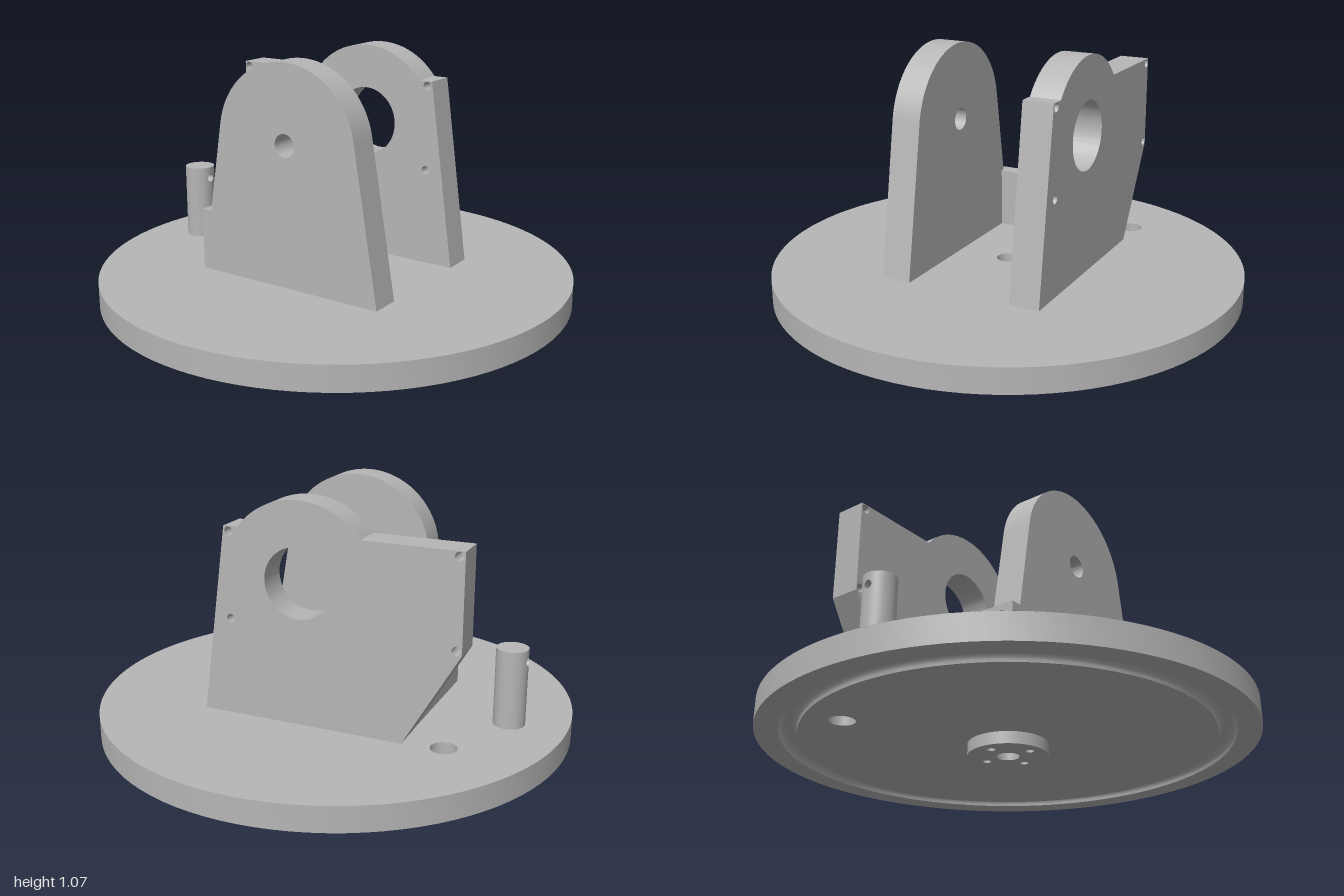
import * as THREE from 'three';
import { toCreasedNormals } from 'three/addons/utils/BufferGeometryUtils.js';
import { ParametricGeometry } from 'three/addons/geometries/ParametricGeometry.js';

const SEG = 96;
const BOTTOM = 0.05, TOP = 0.155;           // turntable disc heights
const AXIS_Y = 0.745, ARC_R = 0.328;        // pivot axis and bracket crown

export function createModel() {
  const grey = new THREE.MeshStandardMaterial({ color: 0xb6b6b6, side: THREE.DoubleSide });
  grey.name = 'machinedGrey';
  const model = new THREE.Group();
  model.name = 'pivotBracketTurntable';

  const add = (name, geometry, parent = model) => {
    const mesh = new THREE.Mesh(geometry, grey);
    mesh.name = name;
    parent.add(mesh);
    return mesh;
  };
  const circlePath = (x, y, r) => new THREE.Path().absarc(x, y, r, 0, Math.PI * 2, true);

  // Flat round face at height y with holes given as [x, z, r]
  const discFace = (name, r, y, up, holes) => {
    const shape = new THREE.Shape().absarc(0, 0, r, 0, Math.PI * 2, false);
    const s = up ? -1 : 1;
    holes.forEach(([x, z, hr]) => shape.holes.push(circlePath(x, s * z, hr)));
    const geo = new THREE.ShapeGeometry(shape, SEG).rotateX(s * Math.PI / 2);
    add(name, geo.translate(0, y, 0));
  };
  // Open round wall
  const wall = (name, [x, z, r], y0, y1) => add(name,
    new THREE.CylinderGeometry(r, r, y1 - y0, SEG, 1, true).translate(x, (y0 + y1) / 2, z));

  // Turntable disc: rim and bearing groove in one lathe, then faces and bores
  const bore = [0, 0, 0.047], cableHole = [-0.6, -0.33, 0.053];
  const grooveR = 0.869, grooveHalf = 0.036;
  const profile = [];
  for (let i = 0; i <= 12; i++) {
    const a = Math.PI * (1 - i / 12);
    profile.push(new THREE.Vector2(grooveR + grooveHalf * Math.cos(a), BOTTOM + grooveHalf * Math.sin(a)));
  }
  profile.push(new THREE.Vector2(1, BOTTOM), new THREE.Vector2(1, TOP));
  add('discRim', toCreasedNormals(new THREE.LatheGeometry(profile, SEG), 0.5));
  discFace('discTop', 1, TOP, true, [bore, cableHole]);
  const hub = [0, 0, 0.163];
  discFace('discUnderside', grooveR - grooveHalf, BOTTOM, false, [hub, cableHole]);
  wall('cableHoleWall', cableHole, BOTTOM, TOP);
  wall('centreBore', bore, 0, TOP);

  // Hub with four blind screw holes
  const screws = [[1, 0], [-1, 0], [0, 1], [0, -1]].map(([x, z]) => [x * 0.108, z * 0.108, 0.017]);
  discFace('hubFace', hub[2], 0, false, [bore, ...screws]);
  wall('hubSide', hub, 0, BOTTOM);
  screws.forEach((s) => {
    wall('screwHole', s, 0, 0.1);
    add('screwHoleEnd', new THREE.CircleGeometry(s[2], 24).rotateX(Math.PI / 2).translate(s[0], 0.1, s[1]));
  });

  // Upright plates
  const upright = (name, shape, z0, z1) => {
    const geo = new THREE.ExtrudeGeometry(shape, { depth: z1 - z0, bevelEnabled: false, curveSegments: 48 });
    add(name, toCreasedNormals(geo.translate(0, 0, z0), 0.3));
  };

  // Front plate: tapered sides tangent to a round crown, with a step for the web
  const tilt = 0.168;
  const front = new THREE.Shape();
  front.moveTo(-0.435, TOP);
  front.lineTo(0.432, TOP);
  front.absarc(0, AXIS_Y, ARC_R, tilt, Math.PI - tilt, false);
  front.lineTo(-0.388, 0.415);
  front.lineTo(-0.435, 0.415);
  front.closePath();
  front.holes.push(circlePath(0, AXIS_Y, 0.047));
  upright('frontPlate', front, 0.227, 0.355);

  // Back plate: square shoulders, round crown, large bore and four mounting holes
  const shoulder = 0.945;
  const a0 = Math.asin((shoulder - AXIS_Y) / ARC_R);
  const back = new THREE.Shape();
  back.moveTo(-0.437, TOP);
  back.lineTo(0.432, TOP);
  back.lineTo(0.322, shoulder);
  back.absarc(0, AXIS_Y, ARC_R, a0, Math.PI - a0, false);
  back.lineTo(-0.667, shoulder);
  back.lineTo(-0.667, 0.55);
  back.closePath();
  back.holes.push(circlePath(0, AXIS_Y, 0.145));
  for (const x of [-0.645, 0.3]) {
    for (const y of [0.565, 0.925]) back.holes.push(circlePath(x, y, 0.018));
  }
  upright('backPlate', back, -0.36, -0.23);

  // Low web joining the plates
  add('web', new THREE.BoxGeometry(0.065, 0.415 - TOP, 0.457).translate(-0.4025, (0.415 + TOP) / 2, -0.0015));

  // Post with a cross-drilled hole near its top
  const post = new THREE.Group();
  post.name = 'post';
  post.position.x = -0.765;
  model.add(post);
  const R = 0.065, r = 0.018, holeY = 0.43, half = 0.05;
  add('postShaft', new THREE.CylinderGeometry(R, R, holeY - half - TOP, 32, 1, true)
    .translate(0, (holeY - half + TOP) / 2, 0), post);
  add('postTop', new THREE.CircleGeometry(R, 32).rotateX(-Math.PI / 2).translate(0, holeY + half, 0), post);
  // Half of the drilled band: blends from the round hole to a rectangle wrapped on the post
  const drilled = (u, v, target) => {
    const p = (u * 4) % 4, side = Math.floor(p), t = 2 * (p - side) - 1;
    const [px, py] = [[1, t], [-t, 1], [-1, -t], [t, -1]][side];
    const a = Math.atan2(py, px);
    const s = THREE.MathUtils.lerp(r * Math.cos(a), px * R * Math.PI / 2, v);
    const y = THREE.MathUtils.lerp(r * Math.sin(a), py * half, v);
    target.set(R * Math.cos(s / R), holeY + y, R * Math.sin(s / R));
  };
  for (const turn of [0, Math.PI]) {
    add('postDrilledBand', new ParametricGeometry(drilled, 64, 8).rotateY(turn), post);
  }
  // Hole wall trimmed to the round surface
  const tunnel = new THREE.CylinderGeometry(r, r, 2, 32, 1, true).rotateZ(Math.PI / 2);
  const pos = tunnel.attributes.position;
  for (let i = 0; i < pos.count; i++) {
    pos.setX(i, Math.sign(pos.getX(i)) * Math.sqrt(R * R - pos.getZ(i) ** 2));
  }
  add('postHoleWall', tunnel.translate(0, holeY, 0), post);

  return model;
}
